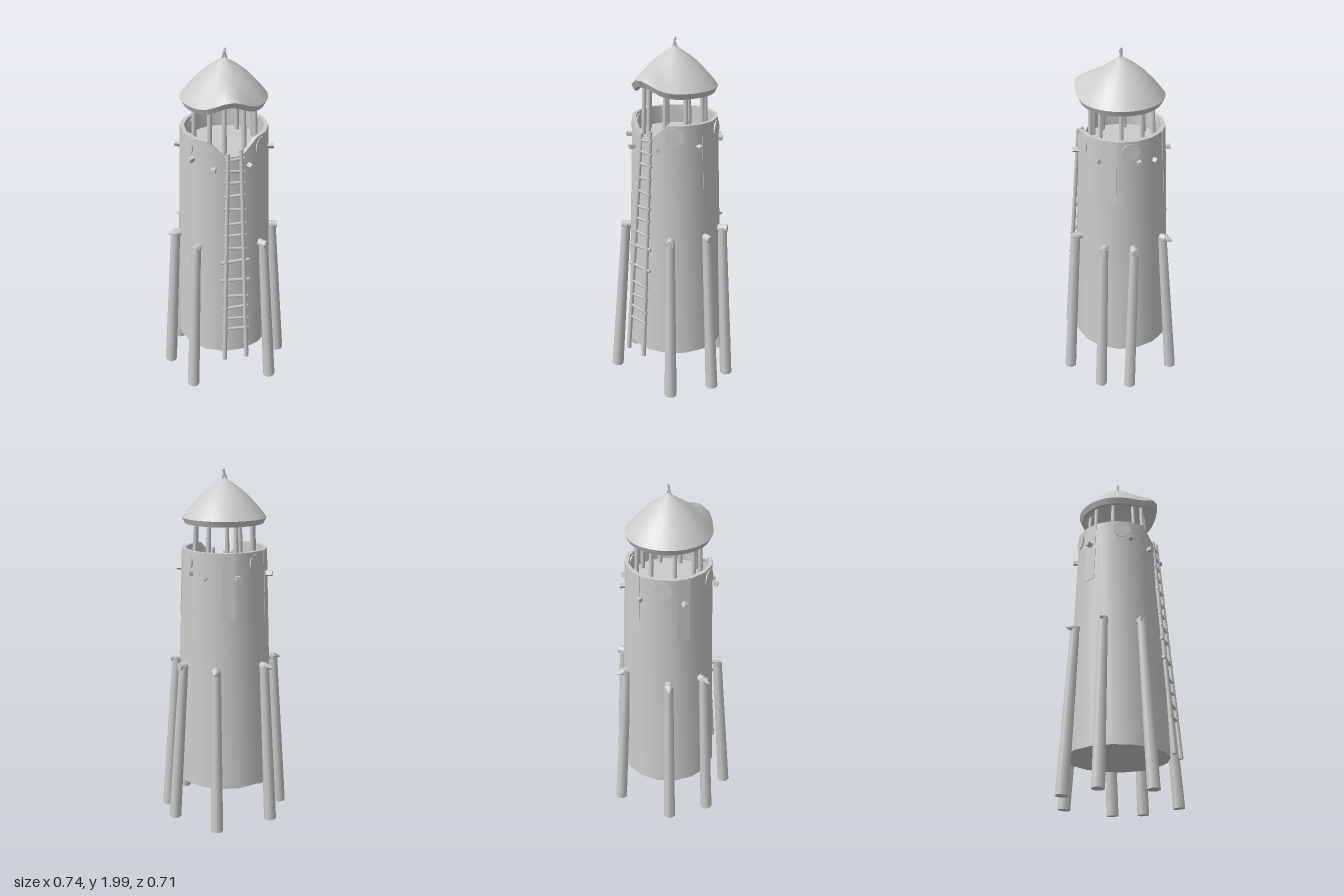
import * as THREE from 'three';
import { toCreasedNormals } from 'three/addons/utils/BufferGeometryUtils.js';

const material = new THREE.MeshStandardMaterial({ color: 0xcccccc, side: THREE.DoubleSide });
const AXIS_Z = 0.012; // tower axis
const deg = THREE.MathUtils.degToRad;
const V = (x, y, z) => new THREE.Vector3(x, y, z);

export function createModel() {
  const model = new THREE.Group();

  const add = (name, geometry) => {
    const mesh = new THREE.Mesh(geometry, material);
    mesh.name = name;
    model.add(mesh);
    return mesh;
  };

  // Round bar between two points
  const bar = (name, a, b, r0, r1 = r0, sides = 8) => {
    const dir = b.clone().sub(a);
    const mesh = add(name, new THREE.CylinderGeometry(r1, r0, dir.length(), sides));
    mesh.position.copy(a).add(b).multiplyScalar(0.5);
    mesh.quaternion.setFromUnitVectors(V(0, 1, 0), dir.normalize());
    return mesh;
  };

  // Point at an angle (from the front) and distance around the tower axis
  const polar = (angle, r, y) => V(Math.sin(angle) * r, y, Math.cos(angle) * r + AXIS_Z);

  // Lathe whose points are moved by a rule of (point, angle, radius)
  const lathe = (name, profile, sides, rule) => {
    const geo = new THREE.LatheGeometry(profile.map(p => new THREE.Vector2(...p)), sides);
    const pos = geo.attributes.position;
    const p = V(0, 0, 0);
    for (let i = 0; i < pos.count; i++) {
      p.fromBufferAttribute(pos, i);
      rule(p, Math.atan2(p.x, p.z), Math.hypot(p.x, p.z));
      pos.setXYZ(i, p.x, p.y, p.z);
    }
    add(name, toCreasedNormals(geo, 0.7)).position.z = AXIS_Z;
  };

  // Tower with rim, lookout floor and an entry notch above the ladder
  const tower = [[0, 0.245], [0.28, 0.245], [0.235, 1.58], [0.213, 1.58], [0.212, 1.48], [0, 1.48]];
  lathe('tower', tower, 16, (p, angle, r) => {
    if (p.y > 1.55 && r > 0.1 && angle > -0.1 && angle < 0.5) p.y = 1.5;
  });

  // Roof shell, its front eave pulled up and out over the entry
  const roof = [[0, 1.91], [0.06, 1.87], [0.13, 1.8], [0.2, 1.712], [0.215, 1.714], [0.23, 1.745],
    [0.205, 1.778], [0.175, 1.812], [0.125, 1.865], [0.075, 1.905], [0.03, 1.935], [0.008, 1.95], [0, 1.952]];
  lathe('roof', roof, 32, (p, angle, r) => {
    const lift = Math.exp(-(((angle - 0.15) / 0.42) ** 2)) * THREE.MathUtils.smoothstep(r, 0.1, 0.23);
    p.y += 0.06 * lift;
    p.x *= 1 + 0.09 * lift;
    p.z *= 1 + 0.09 * lift;
  });

  // Crossed sticks on the roof tip
  bar('finial', V(-0.013, 1.935, 0.018), V(0.006, 1.997, 0.01), 0.006, 0.006, 4);
  bar('finial', V(0.014, 1.935, 0.008), V(0.002, 1.985, 0.018), 0.006, 0.006, 4);

  // Roof posts
  for (const a of [0, 37, 75, 115, 155, 207, 250, 290, 333]) {
    bar('roofPost', polar(deg(a), 0.172, 1.48), polar(deg(a), 0.162, 1.79), 0.013, 0.011);
  }

  // Leaning struts: foot x, z, top x, z, and whether the peg is pointed
  const struts = [
    [0.01, -0.322, 0.02, -0.25, true], [0.273, -0.17, 0.21, -0.165, false],
    [0.338, -0.012, 0.272, -0.01, false], [0.272, 0.235, 0.215, 0.195, false],
    [-0.187, 0.312, -0.155, 0.245, false], [-0.332, 0.087, -0.275, 0.075, true],
    [-0.285, -0.148, -0.235, -0.125, true],
  ];
  for (const [fx, fz, tx, tz, pointed] of struts) {
    bar('strut', V(fx, 0.012, fz), V(tx, 0.945, tz), 0.035, 0.026);
    // Peg pinning the strut to the wall
    const angle = Math.atan2(tx, tz - AXIS_Z);
    const end = pointed ? 0.285 : 0.305;
    bar('strutPeg', polar(angle, 0.22, 0.94), polar(angle, end, 0.94), 0.022);
    if (pointed) bar('strutPegTip', polar(angle, end, 0.94), polar(angle, 0.33, 0.935), 0.022, 0.001);
  }

  // Ladder
  const rails = [
    [V(0, 0.23, 0.342), V(0.018, 1.52, 0.24)],
    [V(0.127, 0.235, 0.322), V(0.085, 1.54, 0.228)],
  ];
  for (const [a, b] of rails) bar('ladderRail', a, b, 0.013, 0.011);
  const rungs = [0.44, 0.51, 0.585, 0.66, 0.765, 0.885, 0.965, 1.045, 1.115, 1.2, 1.28, 1.355, 1.42, 1.485];
  rungs.forEach((y, i) => {
    const [l, r] = rails.map(([a, b]) => a.clone().lerp(b, (y - a.y) / (b.y - a.y)));
    const out = r.clone().sub(l).normalize();
    const extra = i === 4 || i === 5 ? 0.03 : 0.016;
    l.addScaledVector(out, -extra);
    r.addScaledVector(out, extra);
    l.y += 0.006 * Math.sin(i * 2.3);
    r.y -= 0.006 * Math.sin(i * 2.3);
    bar('ladderRung', l, r, i === 4 || i === 5 ? 0.011 : 0.008, 0.008, 6);
  });

  // Round discs set through the rim wall
  for (const a of [55, 128, 232, 305]) {
    bar('rimDisc', polar(deg(a), 0.205, 1.52), polar(deg(a), 0.237, 1.521), 0.048, 0.048, 20);
  }

  // Small pegs below the rim: x, y, z
  const pegs = [
    [-0.09, 1.45, -0.21], [0.08, 1.45, -0.215], [0.16, 1.46, -0.162], [-0.243, 1.445, -0.035],
    [0.243, 1.46, 0.028], [-0.167, 1.465, 0.19], [0.13, 1.44, 0.215], [-0.055, 1.43, 0.247],
  ];
  pegs.forEach(([x, y, z], i) => {
    const peg = add('wallPeg', new THREE.BoxGeometry(0.023, 0.023, 0.05));
    peg.position.set(x, y, z);
    peg.rotation.set(0, Math.atan2(x, z - AXIS_Z), i * 0.9, 'YXZ');
  });

  // Flush boards on the upper wall
  for (const a of [-101.25, 101.25, 191.25]) {
    const board = bar('wallBoard', polar(deg(a), 0.239, 1.22), polar(deg(a), 0.2265, 1.578), 0.01);
    board.geometry = new THREE.BoxGeometry(0.07, 0.358, 0.012);
    board.rotation.set(-0.035, deg(a), 0, 'YXZ');
  }

  return model;
}
